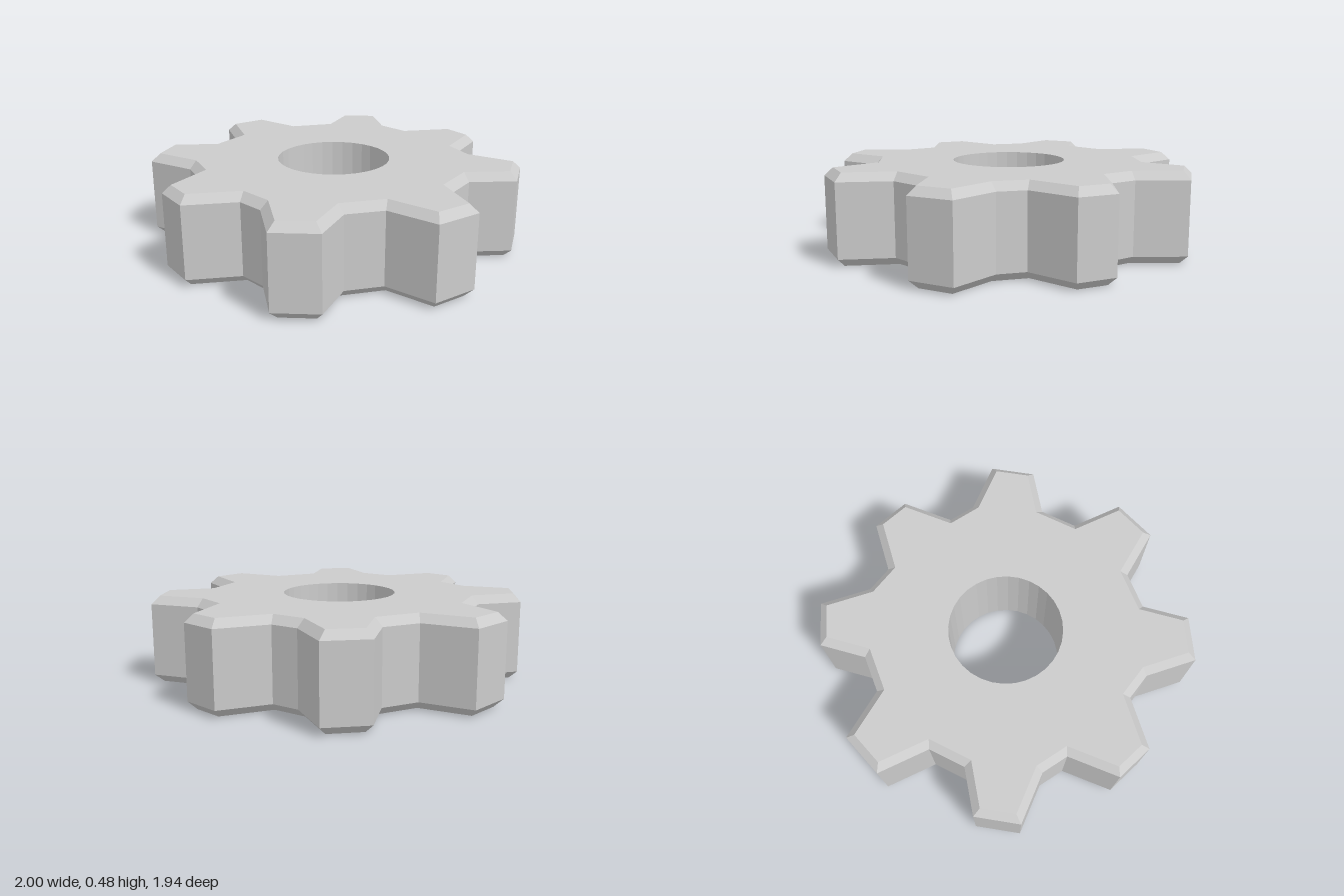
import * as THREE from 'three';

const HEIGHT = 0.48, CHAMFER = 0.043, INSET = 0.04, BORE = 0.308, BORE_SIDES = 32;

// Closed tooth outline in plan, mirrored from one quarter
function gearOutline() {
  const quarter = [
    [1, 0.125], [0.725, 0.21], [0.652, 0.4], [0.785, 0.615],
    [0.635, 0.805], [0.38, 0.69], [0.23, 0.715], [0.107, 0.972],
  ].map(([x, z]) => new THREE.Vector2(x, z));
  const flip = (sx, sz) => quarter.map((p) => new THREE.Vector2(p.x * sx, p.y * sz));
  return [...quarter, ...flip(-1, 1).reverse(), ...flip(-1, -1), ...flip(1, -1).reverse()];
}

// Mitred inward offset of a closed outline
function insetOutline(points, distance) {
  const n = points.length;
  const normal = (a, b) => {
    const d = b.clone().sub(a).normalize();
    return new THREE.Vector2(-d.y, d.x);
  };
  return points.map((p, i) => {
    const n1 = normal(points[(i + n - 1) % n], p);
    const n2 = normal(p, points[(i + 1) % n]);
    return n1.clone().add(n2).multiplyScalar(distance / (1 + n1.dot(n2))).add(p);
  });
}

// Side walls lofted through stacked rings, listed from bottom to top
function loftWalls(rings) {
  const n = rings[0].points.length;
  const positions = rings.flatMap(({ points, y }) => points.flatMap((p) => [p.x, y, p.y]));
  const index = [];
  for (let r = 0; r < rings.length - 1; r++) {
    for (let i = 0; i < n; i++) {
      const j = (i + 1) % n;
      const a = r * n + i, b = r * n + j, c = b + n, d = a + n;
      index.push(a, d, c, a, c, b);
    }
  }
  const geometry = new THREE.BufferGeometry();
  geometry.setAttribute('position', new THREE.Float32BufferAttribute(positions, 3));
  geometry.setIndex(index);
  geometry.computeVertexNormals();
  return geometry;
}

// Flat face with the bore cut out
function faceGeometry(points) {
  const shape = new THREE.Shape(points);
  const hole = [];
  for (let i = 0; i < BORE_SIDES; i++) {
    const t = (i / BORE_SIDES) * Math.PI * 2;
    hole.push(new THREE.Vector2(BORE * Math.cos(t), BORE * Math.sin(t)));
  }
  shape.holes.push(new THREE.Path(hole));
  return new THREE.ShapeGeometry(shape);
}

export function createModel() {
  const gear = new THREE.Group();
  gear.name = 'gear';
  const material = new THREE.MeshStandardMaterial({ color: 0xcccccc, flatShading: true });
  const add = (name, geometry) => {
    const mesh = new THREE.Mesh(geometry, material);
    mesh.name = name;
    gear.add(mesh);
  };

  const outer = gearOutline();
  const inner = insetOutline(outer, INSET);

  // Toothed rim with chamfered top and bottom edges
  add('toothedRim', loftWalls([
    { points: inner, y: 0 },
    { points: outer, y: CHAMFER },
    { points: outer, y: HEIGHT - CHAMFER },
    { points: inner, y: HEIGHT },
  ]));

  // Top and bottom faces
  add('topFace', faceGeometry(inner).rotateX(-Math.PI / 2).translate(0, HEIGHT, 0));
  add('bottomFace', faceGeometry(inner).rotateX(Math.PI / 2));

  // Bore wall, profile runs downward so it faces the axis
  add('bore', new THREE.LatheGeometry(
    [new THREE.Vector2(BORE, HEIGHT), new THREE.Vector2(BORE, 0)], BORE_SIDES));

  return gear;
}
